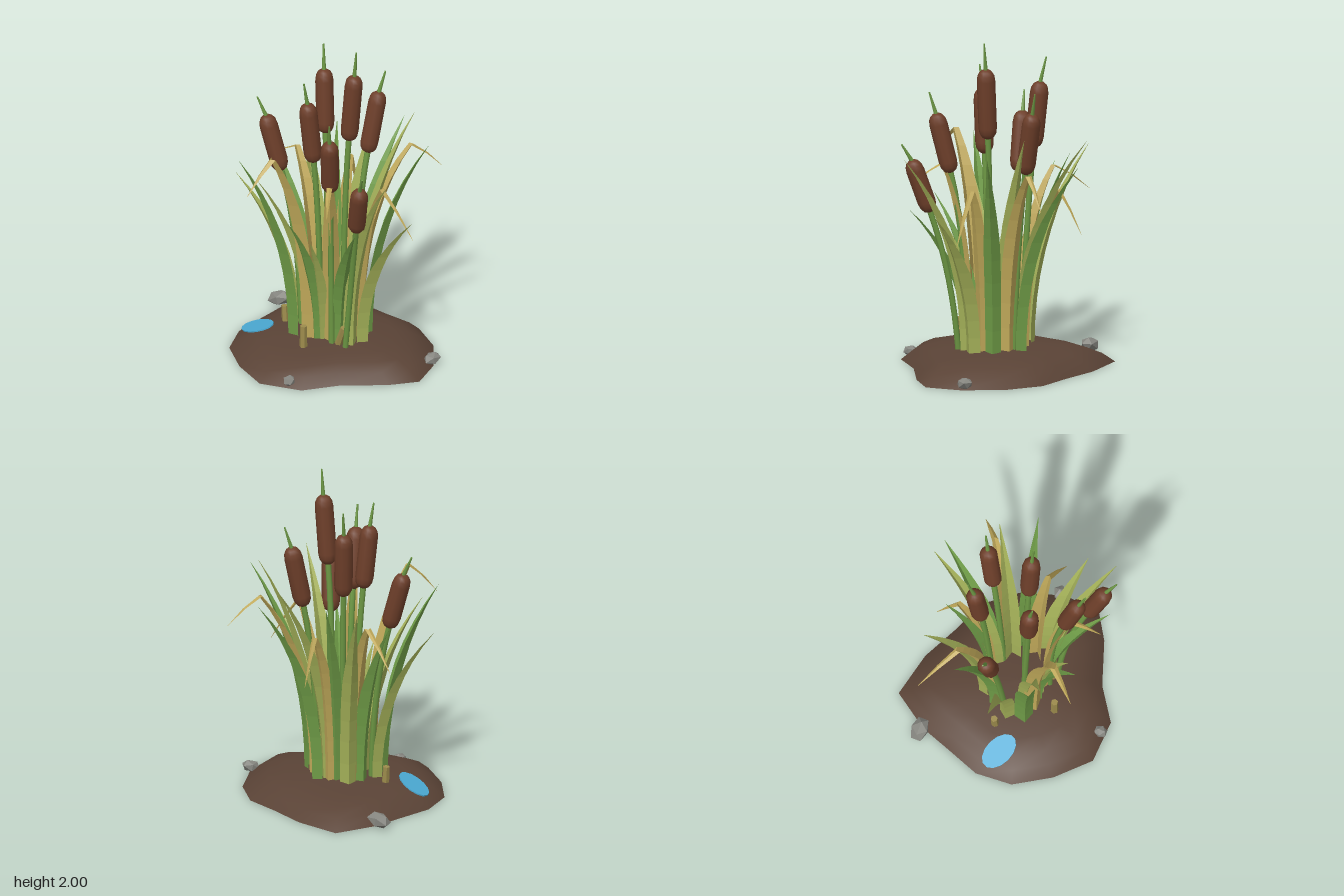
import * as THREE from 'three';

const mat = (name, color, extra = {}) => {
  const m = new THREE.MeshStandardMaterial({ color, ...extra });
  m.name = name;
  return m;
};
const V = (x, y, z) => new THREE.Vector3(x, y, z);

// Open surface from equal-length rows of points
function loft(rows, closed) {
  const n = rows[0].length, pos = [], idx = [];
  rows.forEach(r => r.forEach(p => pos.push(p.x, p.y, p.z)));
  for (let i = 0; i < rows.length - 1; i++)
    for (let j = 0; j < (closed ? n : n - 1); j++) {
      const a = i * n + j, b = i * n + (j + 1) % n;
      idx.push(a, a + n, b, b, a + n, b + n);
    }
  const g = new THREE.BufferGeometry();
  g.setAttribute('position', new THREE.Float32BufferAttribute(pos, 3));
  g.setIndex(idx);
  g.computeVertexNormals();
  return g;
}

export function createModel() {
  const root = new THREE.Group();
  const leafStyle = { side: THREE.DoubleSide, flatShading: true };
  const mud = mat('mud', 0x5a4336);
  const head = mat('seed head brown', 0x6e3f2a);
  const stem = mat('stem green', 0x6d9844);
  const green = mat('leaf green', 0x6f9c47, leafStyle);
  const lime = mat('leaf yellow green', 0xa3b058, leafStyle);
  const straw = mat('dry straw', 0xbfa859, leafStyle);
  const rock = mat('rock grey', 0x85857f, { flatShading: true });
  const water = mat('water blue', 0x4aa9d2);
  const stubMat = mat('cut stalk', 0x9c8b4c, { flatShading: true });
  const add = (name, g, m, parent = root) => {
    const mesh = new THREE.Mesh(g, m);
    mesh.name = name;
    parent.add(mesh);
    return mesh;
  };

  // Mud mound: irregular outline shrunk inward along a dome profile, plus a flat underside
  const outline = [[0.68, -0.01], [0.605, -0.22], [0.43, -0.42], [0.22, -0.53], [0, -0.525],
    [-0.247, -0.535], [-0.525, -0.48], [-0.58, -0.22], [-0.57, -0.04], [-0.56, 0.2],
    [-0.46, 0.4], [-0.254, 0.543], [-0.013, 0.635], [0.232, 0.54], [0.36, 0.34], [0.57, 0.147]].reverse();
  const ring = ([f, y]) => outline.map(([x, z]) => V(x * f, y, z * f));
  const dome = [[1, 0], [0.89, 0.055], [0.76, 0.093], [0.6, 0.117], [0.3, 0.135], [0.001, 0.14]];
  add('mound', loft(dome.map(ring), true), mud);
  add('moundUnderside', loft([[0.001, 0], [1, 0]].map(ring), true), mud);

  // Leaves: folded blades; kinked ones arch to [x, y, z] and then droop to the tip
  const leaves = new THREE.Group();
  leaves.name = 'leaves';
  root.add(leaves);
  function blade(m, r, tip, kink, half = 0.046) {
    const end = V(...(kink || tip)), last = V(...tip);
    const a = Math.atan2(end.z, end.x);
    const out = V(Math.cos(a), 0, Math.sin(a)), side = V(-out.z, 0, out.x);
    const base = V(out.x * r, 0.11, out.z * r);
    const steps = 9, rows = [];
    const row = (p, w) => rows.push([-1, 0, 1].map(s =>
      p.clone().addScaledVector(side, s * w).addScaledVector(out, w * (s ? -0.45 : 0.45))));
    for (let i = 0; i <= steps; i++) {
      const t = i / steps;
      const p = base.clone().lerp(end, Math.pow(t, 2.1));
      p.y = base.y + (end.y - base.y) * t * (kink ? 1.3 - 0.3 * t : 1.1 - 0.1 * t);
      const fade = Math.pow(Math.max(0, (t - 0.5) / 0.5), 1.2);
      row(p, half * (1 + 0.2 * Math.min(t, 0.5)) * (1 - fade * (kink ? 0.62 : 0.99)));
    }
    if (kink) {
      row(end.clone().lerp(last, 0.5).add(V(0, 0.015, 0)), half * 0.27);
      row(last, 0.001);
    }
    add('leaf', loft(rows, false), m, leaves);
  }
  blade(lime, 0.16, [-0.115, 1.44, -0.595]);
  blade(green, 0.21, [0.013, 1.31, -0.635]);
  blade(straw, 0.18, [0.335, 1.09, -0.61], [0.24, 1.27, -0.44]);
  blade(lime, 0.16, [0.27, 1.49, -0.43]);
  blade(green, 0.22, [0.485, 1.39, -0.32]);
  blade(straw, 0.19, [0.53, 0.84, -0.125], [0.33, 1.14, -0.075]);
  blade(lime, 0.25, [0.61, 1.02, -0.025], null, 0.05);
  blade(lime, 0.23, [0.61, 1.34, 0.21]);
  blade(green, 0.18, [0.45, 1.0, 0.31], null, 0.042);
  blade(straw, 0.16, [0.3, 1.1, 0.39], [0.2, 1.24, 0.25]);
  blade(lime, 0.15, [0.1, 0.85, 0.315], null, 0.036);
  blade(green, 0.16, [0.04, 1.0, 0.44], null, 0.04);
  blade(straw, 0.19, [-0.155, 1.17, 0.59], [-0.115, 1.37, 0.41], 0.055);
  blade(lime, 0.15, [-0.235, 1.2, 0.415], null, 0.042);
  blade(green, 0.24, [-0.34, 1.3, 0.45], null, 0.054);
  blade(lime, 0.23, [-0.525, 1.09, 0.265]);
  blade(green, 0.2, [-0.49, 1.17, -0.05]);
  blade(straw, 0.18, [-0.665, 0.98, -0.18], [-0.39, 1.17, -0.125]);
  blade(lime, 0.22, [-0.5, 1.31, -0.3]);
  blade(green, 0.17, [-0.265, 1.3, -0.345], null, 0.04);
  blade(straw, 0.18, [-0.22, 0.83, -0.47], [-0.16, 1.1, -0.35], 0.042);

  // Cattails: curved stem, rounded seed head and thin spike
  const headProfile = len => [[0.001, 0], [0.02, 0.002], [0.038, 0.014], [0.05, 0.036], [0.055, 0.07],
    [0.055, len - 0.07], [0.05, len - 0.036], [0.038, len - 0.014], [0.02, len - 0.002], [0.001, len]]
    .map(([x, y]) => new THREE.Vector2(x, y));
  const cattails = [ // base x z, head bottom, head top, tip
    [-0.18, 0.07, [-0.32, 1.11, 0.09], [-0.41, 1.46, 0.13], [-0.455, 1.575, 0.155]],
    [-0.11, -0.1, [-0.175, 1.32, -0.14], [-0.21, 1.72, -0.165], [-0.235, 1.87, -0.19]],
    [-0.03, 0.07, [-0.04, 1.27, 0.12], [-0.06, 1.66, 0.155], [-0.065, 1.8, 0.18]],
    [0.035, -0.16, [0.05, 1.22, -0.26], [0.075, 1.6, -0.335], [0.095, 1.73, -0.37]],
    [0.07, -0.02, [0.11, 1.41, -0.025], [0.145, 1.84, -0.035], [0.16, 2.0, -0.035]],
    [0.12, 0.14, [0.17, 1.18, 0.21], [0.225, 1.54, 0.28], [0.25, 1.67, 0.31]],
    [0.21, 0.12, [0.37, 0.98, 0.205], [0.46, 1.3, 0.275], [0.51, 1.4, 0.31]],
  ];
  const up = V(0, 1, 0);
  for (const [x, z, b, t, s] of cattails) {
    const g = new THREE.Group();
    g.name = 'cattail';
    root.add(g);
    const bottom = V(...b), top = V(...t), tip = V(...s);
    const dir = top.clone().sub(bottom), len = dir.length();
    dir.normalize();
    const curve = new THREE.QuadraticBezierCurve3(V(x, 0.11, z),
      bottom.clone().addScaledVector(dir, -0.4), bottom.clone().addScaledVector(dir, 0.02));
    add('stem', new THREE.TubeGeometry(curve, 8, 0.018, 7), stem, g);
    const h = add('seedHead', new THREE.LatheGeometry(headProfile(len), 10), head, g);
    h.position.copy(bottom);
    h.quaternion.setFromUnitVectors(up, dir);
    const spikeDir = tip.clone().sub(top), sl = spikeDir.length() + 0.02;
    const spike = add('spike', new THREE.CylinderGeometry(0.005, 0.014, sl, 6), stem, g);
    spike.position.copy(tip).addScaledVector(spikeDir.normalize(), -sl / 2);
    spike.quaternion.setFromUnitVectors(up, spikeDir);
  }

  // Cut stalk stubs
  for (const [x, z, y, tilt] of [[0.02, 0.28, 0.26, 0], [-0.29, 0.09, 0.22, 0.08], [0.17, 0.12, 0.25, -0.35]]) {
    const s = add('stub', new THREE.CylinderGeometry(0.021, 0.024, y - 0.08, 6), stubMat);
    s.position.set(x, (y + 0.08) / 2, z);
    s.rotation.z = tilt;
  }

  // Rocks
  for (const [x, y, z, sx, sy, sz, turn] of [[-0.61, 0.048, -0.22, 0.078, 0.046, 0.058, 0.4],
    [0.585, 0.04, -0.23, 0.058, 0.038, 0.048, 1.1], [0.14, 0.038, 0.545, 0.044, 0.03, 0.038, 2]]) {
    const r = add('rock', new THREE.IcosahedronGeometry(1, 0), rock);
    r.position.set(x, y, z);
    r.scale.set(sx, sy, sz);
    r.rotation.set(0, turn, 0.25);
  }

  // Puddle lying on the slope
  const p = add('puddle', new THREE.CylinderGeometry(1, 1, 0.008, 14), water);
  p.position.set(-0.39, 0.103, 0.225);
  p.scale.set(0.122, 1, 0.076);
  p.rotation.set(0.18, 0, 0.33);

  return root;
}
